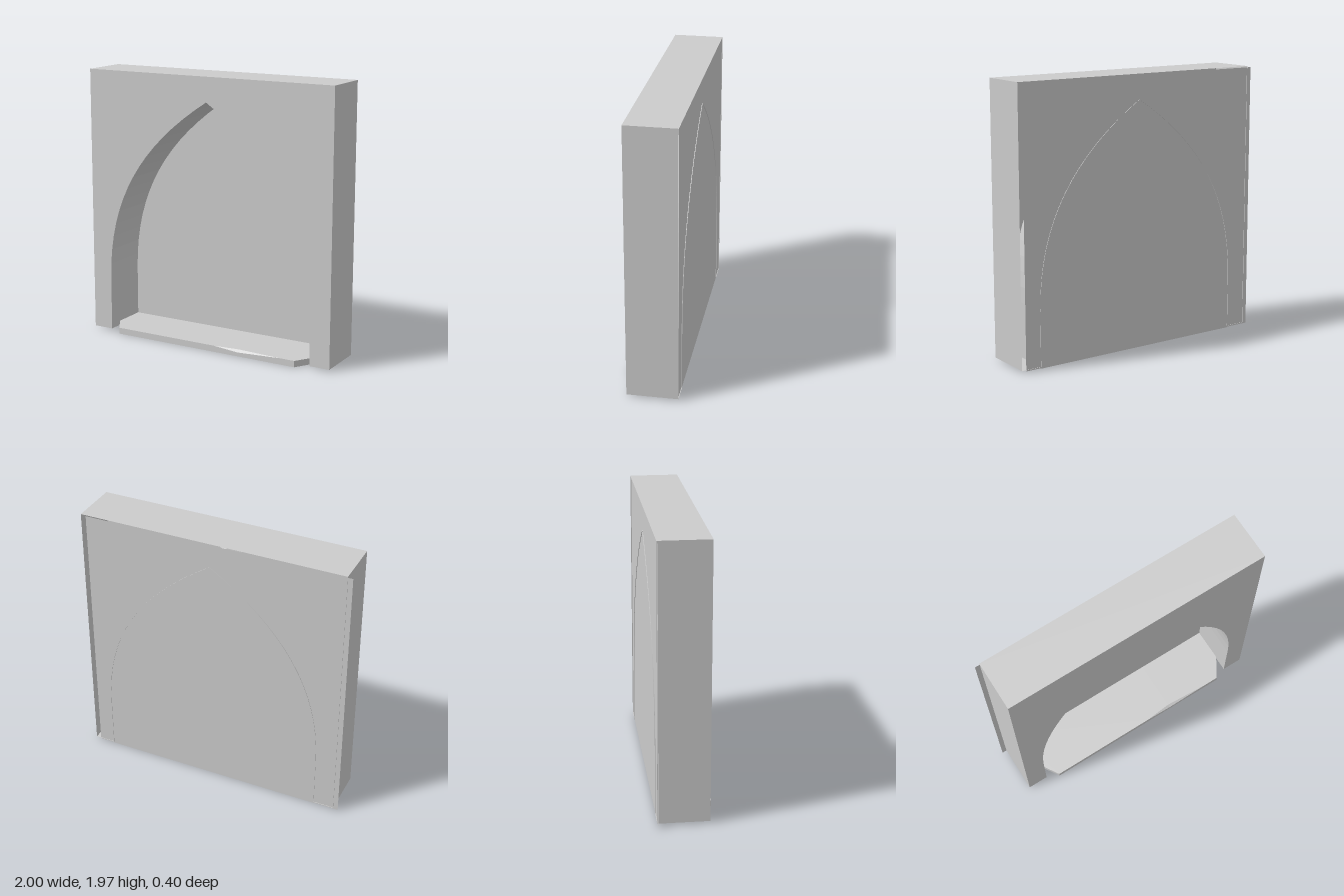
import * as THREE from 'three';

const FRONT = 0.16, BACK = -0.2, MID = 0.0175;

// Pulls a closed outline straight back from z0 to z1 as an open band
function band(points, z0, z1) {
  const pos = [];
  points.forEach((a, i) => {
    const b = points[(i + 1) % points.length];
    if (a.distanceTo(b) < 1e-5) return;
    pos.push(a.x, a.y, z0, a.x, a.y, z1, b.x, b.y, z1);
    pos.push(a.x, a.y, z0, b.x, b.y, z1, b.x, b.y, z0);
  });
  const g = new THREE.BufferGeometry();
  g.setAttribute('position', new THREE.Float32BufferAttribute(pos, 3));
  g.computeVertexNormals();
  return g;
}

// Joins equal-sized closed sections into a capped solid with flat faces
function loft(sections) {
  const n = sections[0].length, index = [];
  for (let s = 0; s < sections.length - 1; s++) {
    for (let i = 0; i < n; i++) {
      const a = s * n + i, b = s * n + (i + 1) % n;
      index.push(a, a + n, b, b, a + n, b + n);
    }
  }
  const last = (sections.length - 1) * n;
  for (let i = 1; i < n - 1; i++) {
    index.push(0, i, i + 1, last, last + i + 1, last + i);
  }
  const g = new THREE.BufferGeometry();
  g.setAttribute('position', new THREE.Float32BufferAttribute(sections.flat(2), 3));
  g.setIndex(index);
  const flat = g.toNonIndexed();
  flat.computeVertexNormals();
  return flat;
}

export function createModel() {
  const group = new THREE.Group();
  const material = new THREE.MeshStandardMaterial({
    color: 0xcccccc, flatShading: true, side: THREE.DoubleSide,
  });
  const add = (name, geometry, parent = group) => {
    const mesh = new THREE.Mesh(geometry, material);
    mesh.name = name;
    parent.add(mesh);
    return mesh;
  };

  // Wall: front with a pointed arch cut up from the bottom edge
  const wall = new THREE.Group();
  wall.name = 'archedWall';
  group.add(wall);
  const shape = new THREE.Shape();
  shape.moveTo(-0.965, 0.02);
  shape.lineTo(MID - 0.83, 0.02);
  shape.lineTo(MID - 0.83, 0.42);
  shape.bezierCurveTo(MID - 0.83, 1.03, MID - 0.55, 1.45, MID, 1.8);
  shape.bezierCurveTo(MID + 0.55, 1.45, MID + 0.83, 1.03, MID + 0.83, 0.42);
  shape.lineTo(MID + 0.83, 0.02);
  shape.lineTo(1, 0.02);
  shape.lineTo(1, 1.98);
  shape.lineTo(-0.965, 1.98);
  shape.closePath();
  add('wallFace', new THREE.ShapeGeometry(shape, 16).translate(0, 0, FRONT), wall);

  // Outer sides, feet and arch reveal; the wall is hollow behind
  add('wallSides', band(shape.getPoints(16), FRONT, BACK), wall);

  // Thin back panel, set slightly to one side of the wall
  const panel = add('backPanel', new THREE.PlaneGeometry(1.965, 1.96));
  panel.position.set(-0.0175, 0.99, -0.196);

  // Sill with tapered ends and a chipped front edge
  // Each row: x, front z, height of front edge, z where the top begins
  const rows = [
    [-0.814, 0.05, 0.052, 0.05],
    [-0.72, 0.2, 0.052, 0.2],
    [0.1, 0.2, 0.052, 0.2],
    [0.3, 0.2, 0.035, 0.18],
    [0.64, 0.2, 0.052, 0.2],
    [0.75, 0.2, 0.052, 0.2],
    [0.846, 0.05, 0.052, 0.05],
  ];
  add('sill', loft(rows.map(([x, z, edge, top]) => [
    [x, 0.006, -0.195], [x, 0.006, z], [x, edge, z], [x, 0.052, top], [x, 0.052, -0.195],
  ])));

  return group;
}
